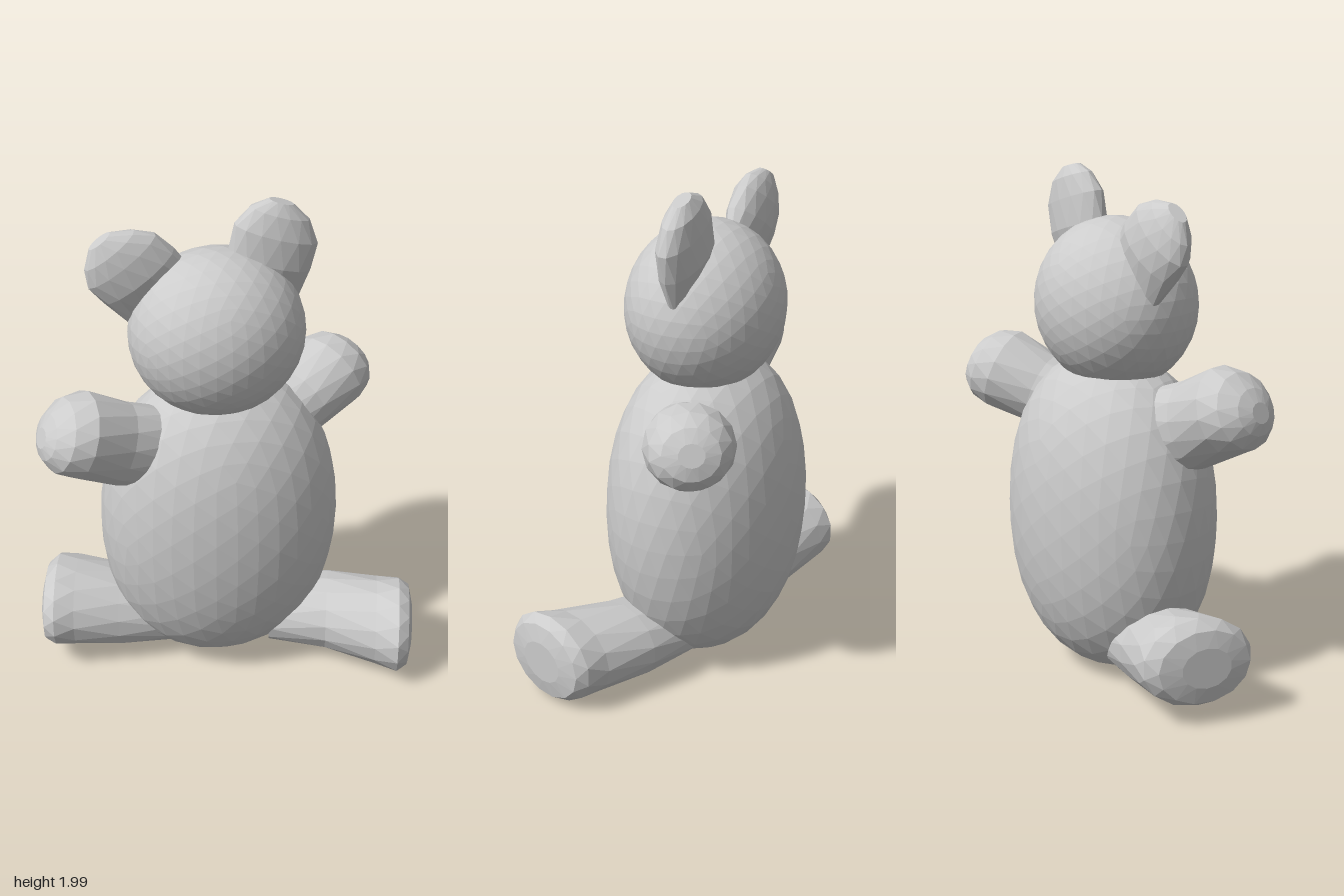
import * as THREE from 'three';

const material = new THREE.MeshStandardMaterial({ color: 0xcccccc, flatShading: true });

function addMesh(group, name, geometry) {
  const mesh = new THREE.Mesh(geometry, material);
  mesh.name = name;
  group.add(mesh);
  return mesh;
}

// Faceted ellipsoid; fullness widens it towards both ends
function blob(center, radii, fullness, detail) {
  const geo = new THREE.IcosahedronGeometry(1, detail);
  const p = geo.attributes.position;
  for (let i = 0; i < p.count; i++) {
    const y = p.getY(i);
    const k = 1 + fullness * y * y;
    p.setXYZ(i, p.getX(i) * k * radii[0], y * radii[1], p.getZ(i) * k * radii[2]);
  }
  geo.translate(...center);
  geo.computeVertexNormals();
  return geo;
}

// Skin over elliptical rings [x, y, z, depthRadius, heightRadius], all facing the
// given direction. Alternate rings are turned half a step for a triangulated look.
function limb(direction, rings, sides = 14) {
  const n = new THREE.Vector3(...direction).normalize();
  const u = new THREE.Vector3(0, 1, 0).cross(n).normalize();
  const v = n.clone().cross(u);
  const pos = [];
  const index = [];
  rings.forEach(([x, y, z, ru, rv], r) => {
    for (let s = 0; s < sides; s++) {
      const a = ((s + r / 2) / sides) * Math.PI * 2;
      const q = new THREE.Vector3(x, y, z)
        .addScaledVector(u, Math.cos(a) * ru)
        .addScaledVector(v, Math.sin(a) * rv);
      pos.push(q.x, q.y, q.z);
      if (r === rings.length - 1) continue;
      const t = (s + 1) % sides;
      const lo = r * sides;
      const hi = lo + sides;
      index.push(lo + s, lo + t, hi + s, lo + t, hi + t, hi + s);
    }
  });
  // Close both ends
  const last = (rings.length - 1) * sides;
  for (let s = 1; s < sides - 1; s++) {
    index.push(0, s + 1, s, last, last + s, last + s + 1);
  }
  const geo = new THREE.BufferGeometry();
  geo.setAttribute('position', new THREE.Float32BufferAttribute(pos, 3));
  geo.setIndex(index);
  const flat = geo.toNonIndexed();
  flat.computeVertexNormals();
  return flat;
}

export function createModel() {
  const bear = new THREE.Group();
  bear.name = 'teddyBear';

  // Egg-shaped body and round head
  addMesh(bear, 'body', blob([-0.01, 0.65, -0.085], [0.485, 0.645, 0.375], 0.14, 5));
  addMesh(bear, 'head', blob([-0.02, 1.485, -0.07], [0.345, 0.335, 0.305], 0, 5));

  // Flat ears, rounded at the tip
  addMesh(bear, 'leftEar', limb([0.3, 0.95, 0], [
    [0.15, 1.6, -0.1, 0.04, 0.15],
    [0.19, 1.75, -0.1, 0.08, 0.17],
    [0.215, 1.86, -0.1, 0.075, 0.17],
    [0.23, 1.94, -0.105, 0.058, 0.12],
    [0.235, 1.985, -0.105, 0.03, 0.05],
  ]));
  addMesh(bear, 'rightEar', limb([-0.6, 0.8, 0], [
    [-0.22, 1.62, -0.12, 0.05, 0.16],
    [-0.31, 1.73, -0.11, 0.08, 0.17],
    [-0.375, 1.8, -0.105, 0.075, 0.165],
    [-0.42, 1.85, -0.1, 0.058, 0.12],
    [-0.455, 1.89, -0.1, 0.03, 0.05],
  ]));

  // Arms: the left one reaches back, the right one slightly forward
  addMesh(bear, 'leftArm', limb([0.75, 0.32, -0.5], [
    [0.2, 1.03, -0.09, 0.14, 0.14],
    [0.34, 1.08, -0.18, 0.15, 0.145],
    [0.48, 1.145, -0.27, 0.175, 0.165],
    [0.545, 1.165, -0.31, 0.155, 0.145],
    [0.585, 1.175, -0.335, 0.11, 0.1],
    [0.6, 1.18, -0.345, 0.05, 0.045],
  ]));
  addMesh(bear, 'rightArm', limb([-0.92, 0.34, 0.2], [
    [-0.24, 1.01, -0.03, 0.12, 0.17],
    [-0.42, 1.075, 0.01, 0.14, 0.17],
    [-0.58, 1.16, 0.05, 0.175, 0.172],
    [-0.66, 1.175, 0.065, 0.155, 0.145],
    [-0.71, 1.18, 0.075, 0.1, 0.09],
    [-0.73, 1.18, 0.08, 0.045, 0.04],
  ]));

  // Legs with broad, nearly flat soles
  addMesh(bear, 'leftLeg', limb([0.96, 0, 0.27], [
    [0.2, 0.17, -0.03, 0.17, 0.13],
    [0.42, 0.18, 0.06, 0.18, 0.155],
    [0.6, 0.185, 0.18, 0.2, 0.17],
    [0.68, 0.19, 0.235, 0.217, 0.182],
    [0.72, 0.19, 0.245, 0.185, 0.155],
    [0.735, 0.19, 0.248, 0.1, 0.085],
  ]));
  addMesh(bear, 'rightLeg', limb([-0.97, 0, -0.23], [
    [-0.2, 0.18, -0.1, 0.16, 0.14],
    [-0.42, 0.205, -0.12, 0.185, 0.165],
    [-0.6, 0.235, -0.148, 0.21, 0.175],
    [-0.68, 0.245, -0.155, 0.22, 0.175],
    [-0.725, 0.24, -0.155, 0.185, 0.145],
    [-0.74, 0.24, -0.155, 0.1, 0.08],
  ]));

  return bear;
}
